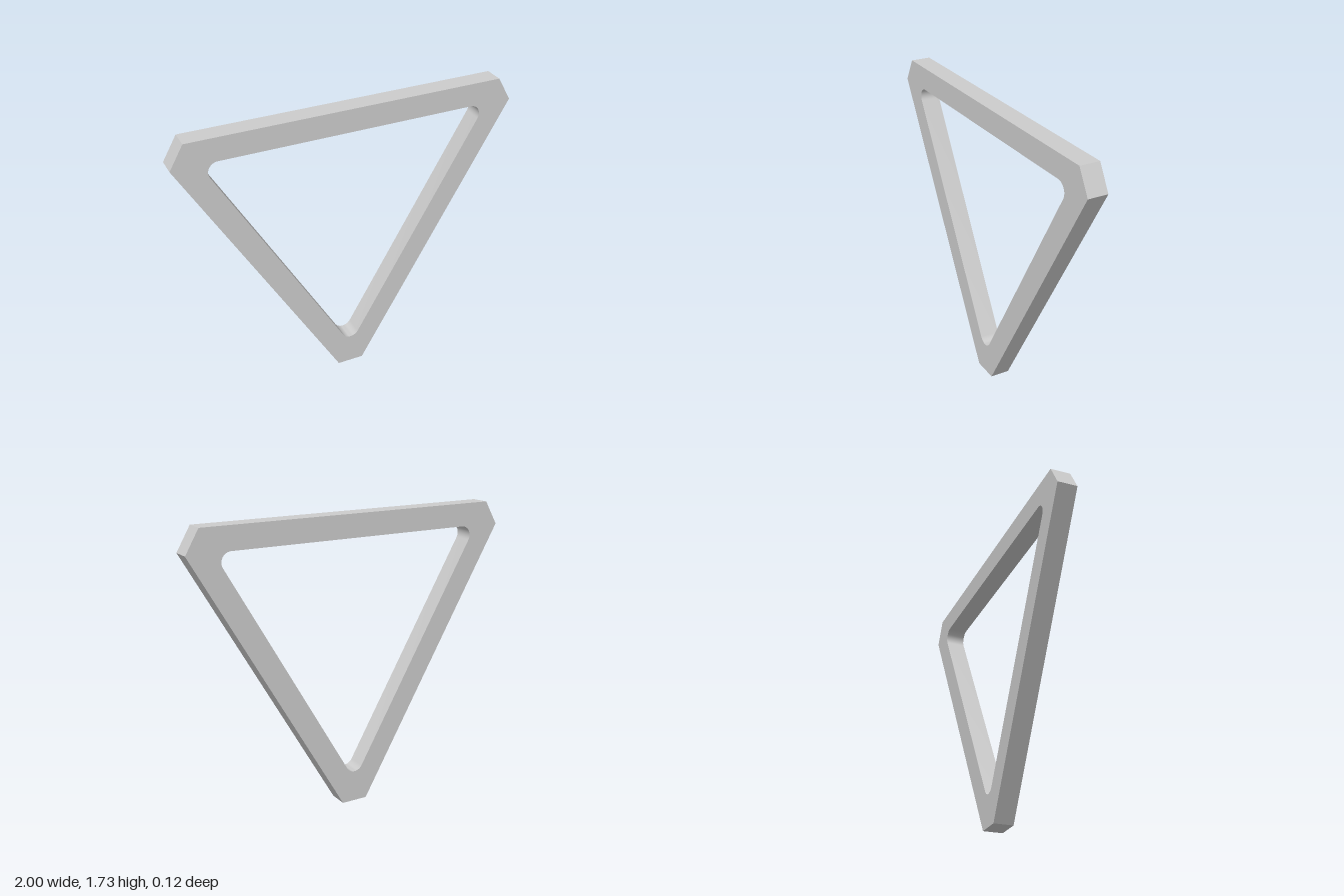
import * as THREE from 'three';
import { toCreasedNormals } from 'three/addons/utils/BufferGeometryUtils.js';

const DEPTH = 0.116;      // thickness of the frame
const CENTRE_Y = 1.108;   // centre of the triangle
const TIP = 1.108;        // centre to the cut-off tips
const TIP_HALF = 0.08;    // half the width of a cut-off tip
const INNER = 0.488;      // centre to the inner edges
const FILLET = 0.057;     // radius of the inner corners
const STEPS = 12;         // segments round each corner

// Cross-sections round the frame: each pairs a point on a cut-off tip
// with a point on the rounded inner corner behind it
function frameSections() {
  const sections = [];
  const reach = 2 * (INNER - FILLET);
  for (let corner = 0; corner < 3; corner++) {
    const a = -Math.PI / 2 + (corner * 2 * Math.PI) / 3;
    const cos = Math.cos(a), sin = Math.sin(a);
    for (let i = 0; i <= STEPS; i++) {
      const t = (2 * i) / STEPS - 1;
      const b = a + (t * Math.PI) / 3;
      const outer = [
        TIP * cos - t * TIP_HALF * sin,
        CENTRE_Y + TIP * sin + t * TIP_HALF * cos,
      ];
      const inner = [
        reach * cos + FILLET * Math.cos(b),
        CENTRE_Y + reach * sin + FILLET * Math.sin(b),
      ];
      const h = DEPTH / 2;
      sections.push([[...outer, h], [...inner, h], [...inner, -h], [...outer, -h]]);
    }
  }
  return sections;
}

// Joins the closed loop of sections with quads
function loftLoop(sections) {
  const positions = [];
  sections.forEach((section, i) => {
    const next = sections[(i + 1) % sections.length];
    for (let k = 0; k < 4; k++) {
      const m = (k + 1) % 4;
      for (const p of [section[k], next[k], next[m], section[k], next[m], section[m]]) {
        positions.push(...p);
      }
    }
  });
  const geometry = new THREE.BufferGeometry();
  geometry.setAttribute('position', new THREE.Float32BufferAttribute(positions, 3));
  return toCreasedNormals(geometry, 0.5);
}

export function createModel() {
  const group = new THREE.Group();
  group.name = 'triangle';

  const frame = new THREE.Mesh(
    loftLoop(frameSections()),
    new THREE.MeshStandardMaterial({ color: 0xcccccc }),
  );
  frame.name = 'triangularFrame';
  group.add(frame);
  return group;
}
